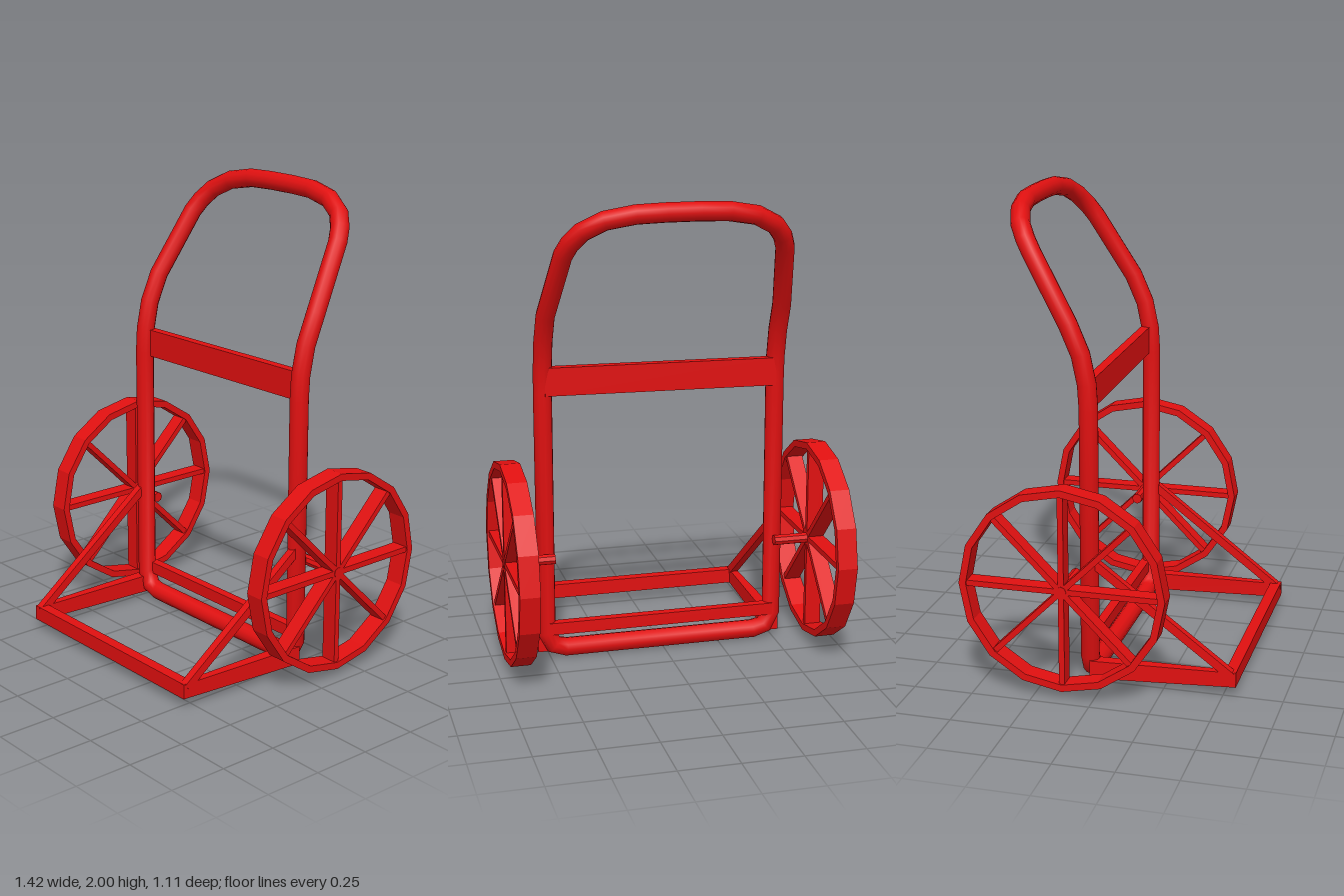
import * as THREE from 'three';

const red = new THREE.MeshStandardMaterial({ color: 0xe01010, flatShading: true });
const redSmooth = new THREE.MeshStandardMaterial({ color: 0xe01010 });

const CX = 0.01; // the frame sits slightly off centre between the wheels

// Closed polyline with mitred corners, one tube ring per point
class Loop extends THREE.Curve {
  constructor(points) {
    super();
    this.points = points;
  }
  at(i) {
    const n = this.points.length;
    return this.points[((i % n) + n) % n];
  }
  getPointAt(u) {
    return this.at(Math.round(u * this.points.length)).clone();
  }
  getTangentAt(u) {
    const i = Math.round(u * this.points.length);
    const before = this.at(i).clone().sub(this.at(i - 1)).normalize();
    const after = this.at(i + 1).clone().sub(this.at(i)).normalize();
    return before.add(after).normalize();
  }
}

function add(parent, name, geometry, material = red) {
  const mesh = new THREE.Mesh(geometry, material);
  mesh.name = name;
  parent.add(mesh);
  return mesh;
}

function box(parent, name, size, position) {
  const mesh = add(parent, name, new THREE.BoxGeometry(...size));
  mesh.position.set(...position);
  return mesh;
}

// Bar along z whose two ends have their own centre and size: [x, y, z, width, height]
function taperedBar(parent, name, front, back) {
  const geometry = new THREE.BoxGeometry(1, 1, 1);
  const p = geometry.attributes.position;
  for (let i = 0; i < p.count; i++) {
    const [x, y, z, w, h] = p.getZ(i) > 0 ? front : back;
    p.setXYZ(i, x + p.getX(i) * w, y + p.getY(i) * h, z);
  }
  geometry.computeVertexNormals();
  return add(parent, name, geometry);
}

function makeFrame() {
  // Right half of the loop, bottom to top: [half width, y, z]
  const half = [
    [0.42, 0.042, -0.067], [0.475, 0.058, -0.067], [0.505, 0.12, -0.067],
    [0.505, 1.18, -0.067], [0.505, 1.28, -0.073], [0.505, 1.4, -0.098],
    [0.503, 1.52, -0.15], [0.459, 1.79, -0.31], [0.437, 1.84, -0.342],
    [0.395, 1.89, -0.375], [0.31, 1.935, -0.403], [0.19, 1.957, -0.419], [0.07, 1.961, -0.421],
  ];
  const points = [
    ...half.map(([x, y, z]) => new THREE.Vector3(CX + x, y, z)),
    ...half.slice().reverse().map(([x, y, z]) => new THREE.Vector3(CX - x, y, z)),
  ];
  return new THREE.TubeGeometry(new Loop(points), points.length, 0.04, 12, true);
}

function makeWheel() {
  const wheel = new THREE.Group();
  const r = 0.432, inner = 0.402, w = 0.0425;
  // Sixteen-sided rim
  const profile = [[inner, -w], [r, -w], [r, w], [inner, w], [inner, -w]];
  const rim = new THREE.LatheGeometry(profile.map(([x, y]) => new THREE.Vector2(x, y)), 16);
  add(wheel, 'rim', rim.rotateZ(Math.PI / 2));
  // Four full-width spokes make eight
  for (let i = 0; i < 4; i++) {
    const spoke = box(wheel, 'spoke', [0.07, 0.82, 0.024], [0, 0, 0]);
    spoke.rotation.x = (i * Math.PI) / 4;
  }
  return wheel;
}

export function createModel() {
  const model = new THREE.Group();
  model.name = 'handTruck';

  add(model, 'tubeFrame', makeFrame(), redSmooth);

  // Cross plates between the uprights
  const upper = box(model, 'upperCrossPlate', [1.0, 0.12, 0.04], [CX, 1.225, -0.088]);
  upper.rotation.z = 0.012;
  box(model, 'lowerCrossPlate', [1.0, 0.053, 0.04], [CX, 0.142, -0.088]);

  // Open toe frame at the bottom
  box(model, 'toeFrontBar', [1.035, 0.065, 0.047], [CX, 0.077, 0.53]);

  for (const side of [1, -1]) {
    const label = side > 0 ? 'left' : 'right';
    taperedBar(model, label + 'ToeBar',
      [CX + side * 0.503, 0.077, 0.554, 0.03, 0.063],
      [CX + side * 0.514, 0.063, -0.06, 0.055, 0.078]);

    // Diagonal brace from the toe up to the upright
    const front = new THREE.Vector3(CX + side * 0.503, 0.09, 0.535);
    const back = new THREE.Vector3(CX + side * 0.513, 0.54, -0.06);
    const brace = add(model, label + 'Brace', new THREE.BoxGeometry(0.034, 0.036, front.distanceTo(back)));
    brace.position.copy(front).add(back).multiplyScalar(0.5);
    brace.lookAt(front);

    // Stub axle and wheel
    const axle = add(model, label + 'Axle', new THREE.CylinderGeometry(0.023, 0.023, 0.22, 8).rotateZ(Math.PI / 2));
    axle.position.set(side * 0.595, 0.468, -0.127);
    const wheel = makeWheel();
    wheel.name = label + 'Wheel';
    wheel.position.set(side * 0.668, 0.468, -0.127);
    model.add(wheel);
  }

  return model;
}
